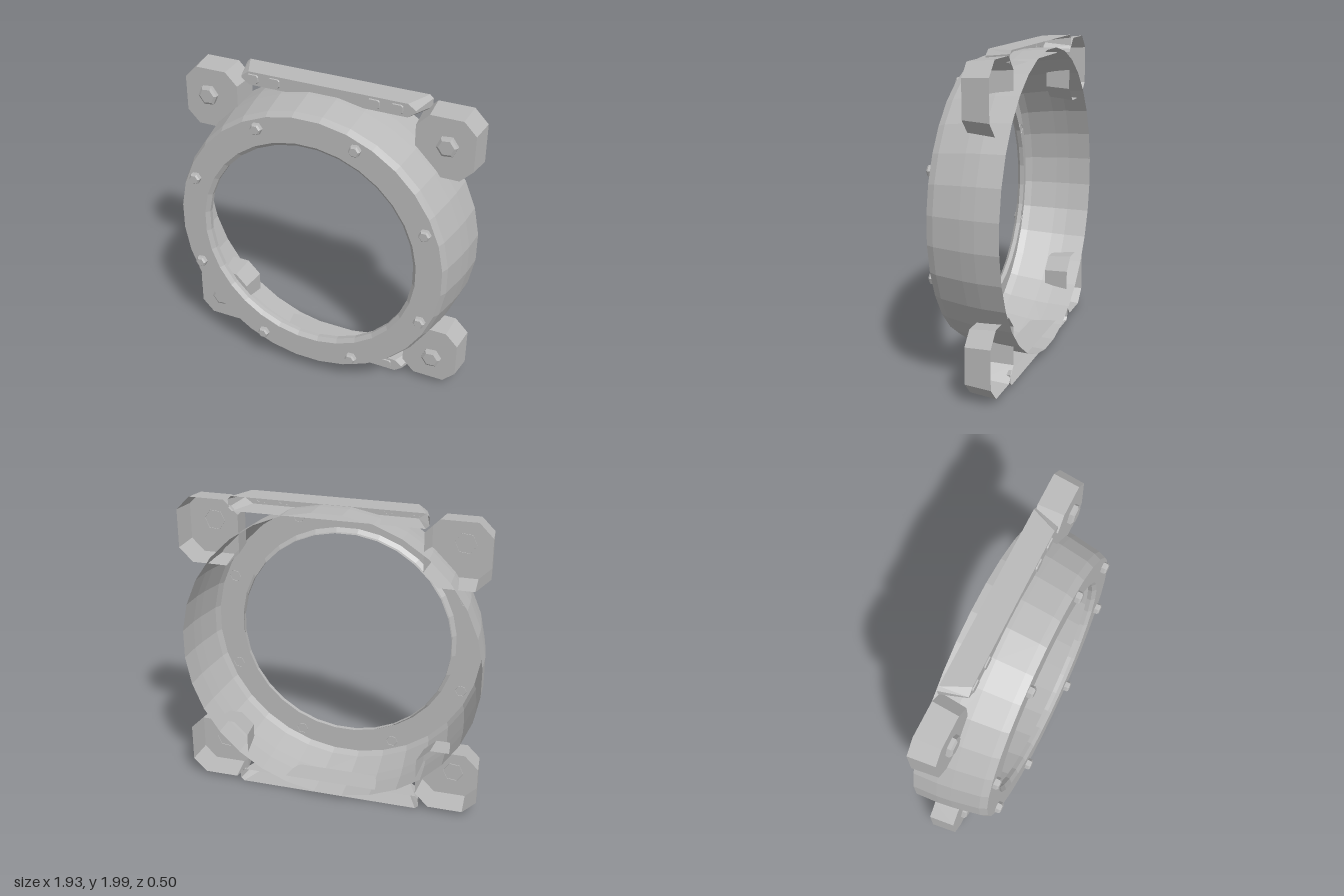
import * as THREE from 'three';

const CY = 1.003; // height of the ring axis

const grey = new THREE.MeshStandardMaterial({ color: 0xb8b8b8, side: THREE.DoubleSide });
grey.name = 'plain grey';

// Faceted normals
function flat(geometry) {
  const g = geometry.index ? geometry.toNonIndexed() : geometry;
  g.computeVertexNormals();
  return g;
}

function part(name, geometry, x, y, z, parent) {
  const mesh = new THREE.Mesh(flat(geometry), grey);
  mesh.name = name;
  mesh.position.set(x, y, z);
  parent.add(mesh);
  return mesh;
}

// Rectangle with cut corners, counter-clockwise: half sizes w, h and cuts cx, cy
function cutRect(w, h, cx, cy, z) {
  return [
    [w, -h + cy], [w, h - cy], [w - cx, h], [-w + cx, h],
    [-w, h - cy], [-w, -h + cy], [-w + cx, -h], [w - cx, -h],
  ].map(([x, y]) => [x, y, z]);
}

// Walls between a back and a front outline, capped in front and open behind
function shell(back, front) {
  const p = [];
  const n = back.length;
  for (let i = 0; i < n; i++) {
    const j = (i + 1) % n;
    p.push(...back[i], ...back[j], ...front[j], ...back[i], ...front[j], ...front[i]);
    if (i > 0 && j > 0) p.push(...front[0], ...front[i], ...front[j]);
  }
  const g = new THREE.BufferGeometry();
  g.setAttribute('position', new THREE.Float32BufferAttribute(p, 3));
  return g;
}

// Lathe around the z axis from [radius, z] points
function latheZ(points, sides, start) {
  const profile = points.map(([r, z]) => new THREE.Vector2(r, z));
  return new THREE.LatheGeometry(profile, sides, start).rotateX(Math.PI / 2);
}

// Hexagonal bolt head with a bevelled top
function boltHead(r, depth, turn) {
  return latheZ([[r, -0.005], [r, depth * 0.7], [r * 0.74, depth], [0, depth]], 6, Math.PI / 2 + turn);
}

export function createModel() {
  const model = new THREE.Group();
  model.name = 'porthole frame';

  // Main ring: open-backed flared shell with a rolled inner lip
  const ringProfile = [
    [0.96, -0.25], [0.953, -0.1], [0.942, -0.01], [0.91, 0.165],
    [0.89, 0.21], [0.724, 0.21], [0.7, 0.188], [0.7, 0.16],
  ];
  part('ring', latheZ(ringProfile, 32, Math.PI / 32), 0, CY, 0, model);

  // Eight bolts on the ring face
  for (let i = 0; i < 8; i++) {
    const a = (i + 0.5) * Math.PI / 4;
    part('ringBolt', boltHead(0.038, 0.035, 0.1), 0.831 * Math.cos(a), CY + 0.831 * Math.sin(a), 0.21, model);
  }

  // Corner brackets with one large bolt each
  for (const sx of [-1, 1]) {
    for (const sy of [-1, 1]) {
      const corner = new THREE.Group();
      corner.name = 'cornerBracket';
      const back = cutRect(0.198, 0.209, 0.087, 0.087, -0.2);
      const front = cutRect(0.182, 0.193, 0.08, 0.08, -0.036);
      part('bracketShell', shell(back, front), sx * 0.767, CY + sy * 0.761, 0, corner);
      part('bracketBolt', boltHead(0.066, 0.034, 0.1), sx * 0.785, CY + sy * 0.783, -0.036, corner);
      model.add(corner);
    }
  }

  // Top and bottom bars with four raised pads each
  for (const sy of [-1, 1]) {
    const bar = new THREE.Group();
    bar.name = sy > 0 ? 'topBar' : 'bottomBar';
    bar.position.set(0.016, CY + sy * 0.951, 0);
    const back = cutRect(0.611, 0.046, 0.022, 0.02, -0.2);
    const front = cutRect(0.565, 0.043, 0.05, 0.036, -0.036);
    part('barShell', shell(back, front), 0, 0, 0, bar);
    for (const x of [-0.488, -0.343, 0.304, 0.449]) {
      const padBack = cutRect(0.039, 0.029, 0.01, 0.01, -0.037);
      const padFront = cutRect(0.036, 0.026, 0.01, 0.01, -0.028);
      part('barPad', shell(padBack, padFront), x, 0, 0, bar);
    }
    model.add(bar);
  }

  return model;
}
